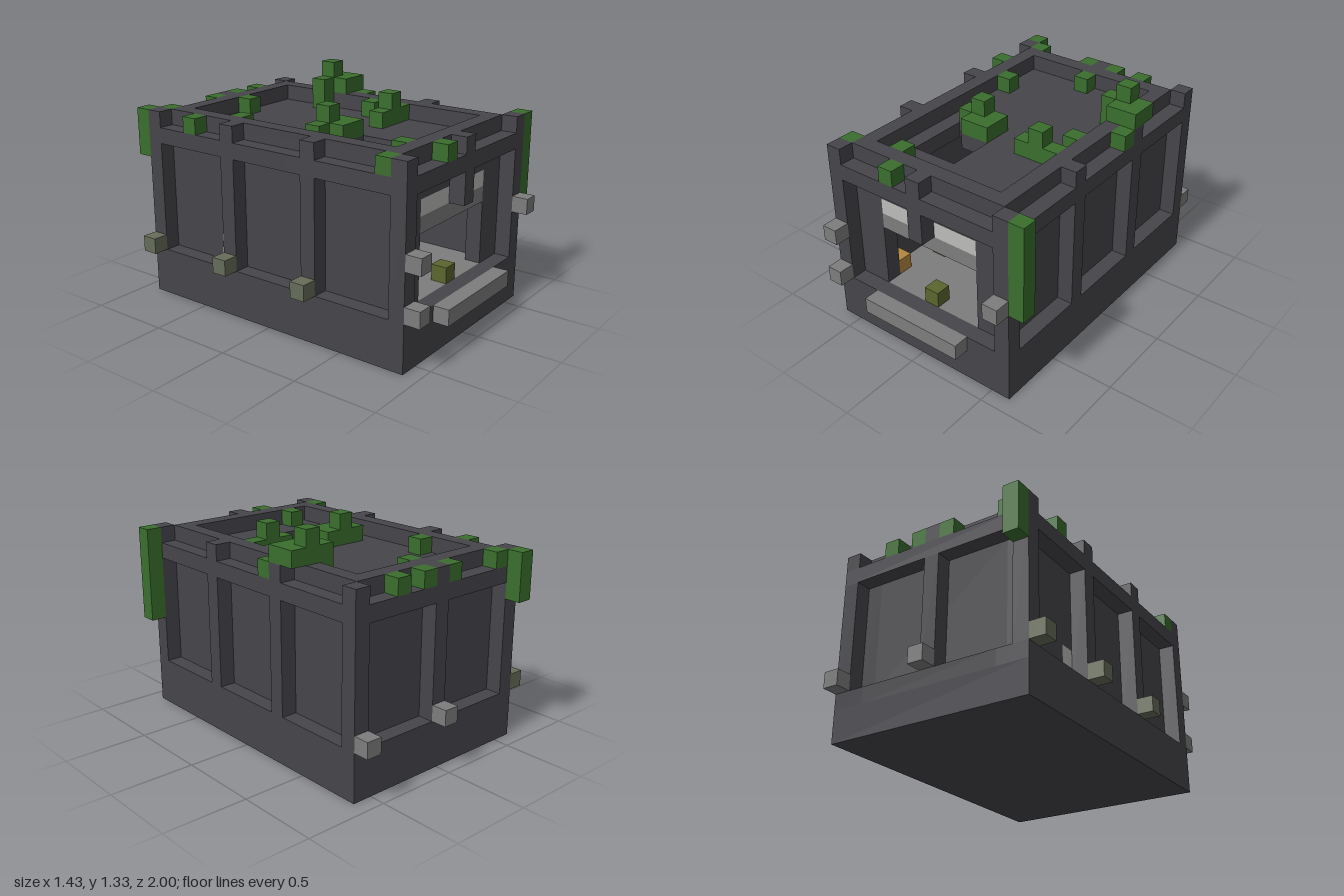
import * as THREE from 'three';

const U = 2 / 21; // edge of one block

const material = (name, color) => {
  const m = new THREE.MeshStandardMaterial({ color });
  m.name = name;
  return m;
};

export function createModel() {
  const model = new THREE.Group();
  model.name = 'overgrownBlockHouse';
  const stone = material('dark stone', 0x46454a);
  const grey = material('grey stone', 0x7d7d7d);
  const light = material('light stone', 0xbcbcba);
  const mossy = material('mossy stone', 0x666d58);
  const leaf = material('leaf green', 0x3a6e2d);
  const moss = material('olive moss', 0x5a652d);
  const amber = material('amber', 0xb3863f);

  // Boxes in block units: [x0, x1, y0, y1, z0, z1]; the body spans 13 x 12 x 19 blocks
  const part = (name, mat, boxes) => {
    const group = new THREE.Group();
    group.name = name;
    for (const [x0, x1, y0, y1, z0, z1] of boxes) {
      const mesh = new THREE.Mesh(new THREE.BoxGeometry((x1 - x0) * U, (y1 - y0) * U, (z1 - z0) * U), mat);
      mesh.position.set(((x0 + x1) / 2 - 6.5) * U, ((y0 + y1) / 2) * U, ((z0 + z1) / 2 - 9.5) * U);
      mesh.name = name + 'Block';
      group.add(mesh);
    }
    model.add(group);
  };
  // Single blocks at [x, y, z]
  const cubes = (list) => list.map(([x, y, z]) => [x, x + 1, y, y + 1, z, z + 1]);

  // Foundation with a rim around the floor
  part('foundation', stone, [
    [0, 13, 0, 2, 0, 19],
    [0, 2, 2, 3, 0, 19], [11, 13, 2, 3, 0, 19],
    [2, 11, 2, 3, 0, 2], [2, 11, 2, 3, 18, 19],
    [2, 3, 2, 3, 17, 18], [10, 11, 2, 3, 17, 18],
  ]);
  part('floor', grey, [[2, 11, 2, 3, 2, 17], [3, 10, 2, 3, 17, 18]]);

  // Recessed walls with the front opening
  part('walls', stone, [
    [1, 2, 3, 10, 1, 5], [1, 2, 5, 10, 5, 6], [1, 2, 3, 10, 6, 18],
    [11, 12, 3, 10, 1, 18],
    [2, 11, 3, 10, 1, 2],
    [2, 3, 3, 10, 17, 18], [10, 11, 3, 10, 17, 18], [3, 10, 9, 10, 17, 18],
  ]);
  part('wallPatch', light, [[1, 2, 3, 5, 5, 6]]);
  part('lowerLintel', grey, [[3, 10, 7, 8, 17, 18]]);
  part('upperLintel', light, [[3, 10, 8, 9, 17, 18]]);
  part('frontSill', grey, [[3, 10, 2, 3, 19, 20]]);

  // Pillars below and above the roof beam
  const pillars = [];
  for (const x of [0, 12]) {
    for (const z of [0, 6, 12, 18]) {
      pillars.push([x, x + 1, 3, 10, z, z + 1], [x, x + 1, 11, 12, z, z + 1]);
    }
  }
  pillars.push([6, 7, 3, 10, 0, 1], [6, 7, 11, 12, 0, 1]);
  pillars.push([6, 7, 8, 10, 18, 19], [6, 7, 11, 12, 18, 19]);
  part('pillars', stone, pillars);

  // Roof slab with a broken hole, and the parapet
  part('roof', stone, [
    [0, 13, 10, 11, 0, 11],
    [0, 3, 10, 11, 11, 12], [4, 13, 10, 11, 11, 12],
    [0, 3, 10, 11, 12, 15], [6, 13, 10, 11, 12, 15],
    [0, 13, 10, 11, 15, 19],
  ]);
  part('parapet', stone, [
    [1, 2, 11, 12, 1, 18], [11, 12, 11, 12, 1, 18],
    [2, 11, 11, 12, 1, 2], [2, 11, 11, 12, 17, 18],
  ]);

  // Stones sticking out of the outer faces
  part('looseStones', grey, cubes([
    [0, 3, 19], [0, 6, 19], [12, 6, 19], [6, 3, -1], [12, 3, -1],
  ]));
  part('mossyStones', mossy, cubes([[-1, 3, 0], [-1, 3, 6], [-1, 3, 12]]));

  // Growth on the roof, along the parapet ledge and down the corners
  part('ledgeLeaves', leaf, cubes([
    [1, 11, 0], [5, 11, 0], [7, 11, 0], [9, 11, 0],
    [0, 11, 3], [0, 11, 17], [4, 11, 18], [12, 11, 7],
  ]));
  part('roofLeaves', leaf, cubes([[6, 11, 2], [2, 11, 5], [3, 11, 16], [10, 11, 9]]));
  part('leafClumps', leaf, [
    [4, 6, 11, 12, 10, 12], [3, 4, 11, 12, 10, 11], [4, 5, 12, 13, 10, 11],
    [8, 11, 11, 12, 11, 12], [9, 10, 12, 13, 11, 12],
    [11, 13, 12, 13, 5, 7], [10, 11, 11, 13, 5, 6], [11, 12, 13, 14, 5, 6],
  ]);
  part('hangingVines', leaf, [[13, 14, 6, 12, 18, 19], [0, 1, 9, 12, -1, 0]]);

  // Inside: moss on the floor and amber lamps
  part('floorMoss', moss, [[4, 6, 3, 4, 12, 13], [3, 4, 3, 4, 13, 14], [6, 7, 3, 4, 17, 18]]);
  part('lamps', amber, cubes([[6, 6, 2], [2, 3, 16]]));

  return model;
}
